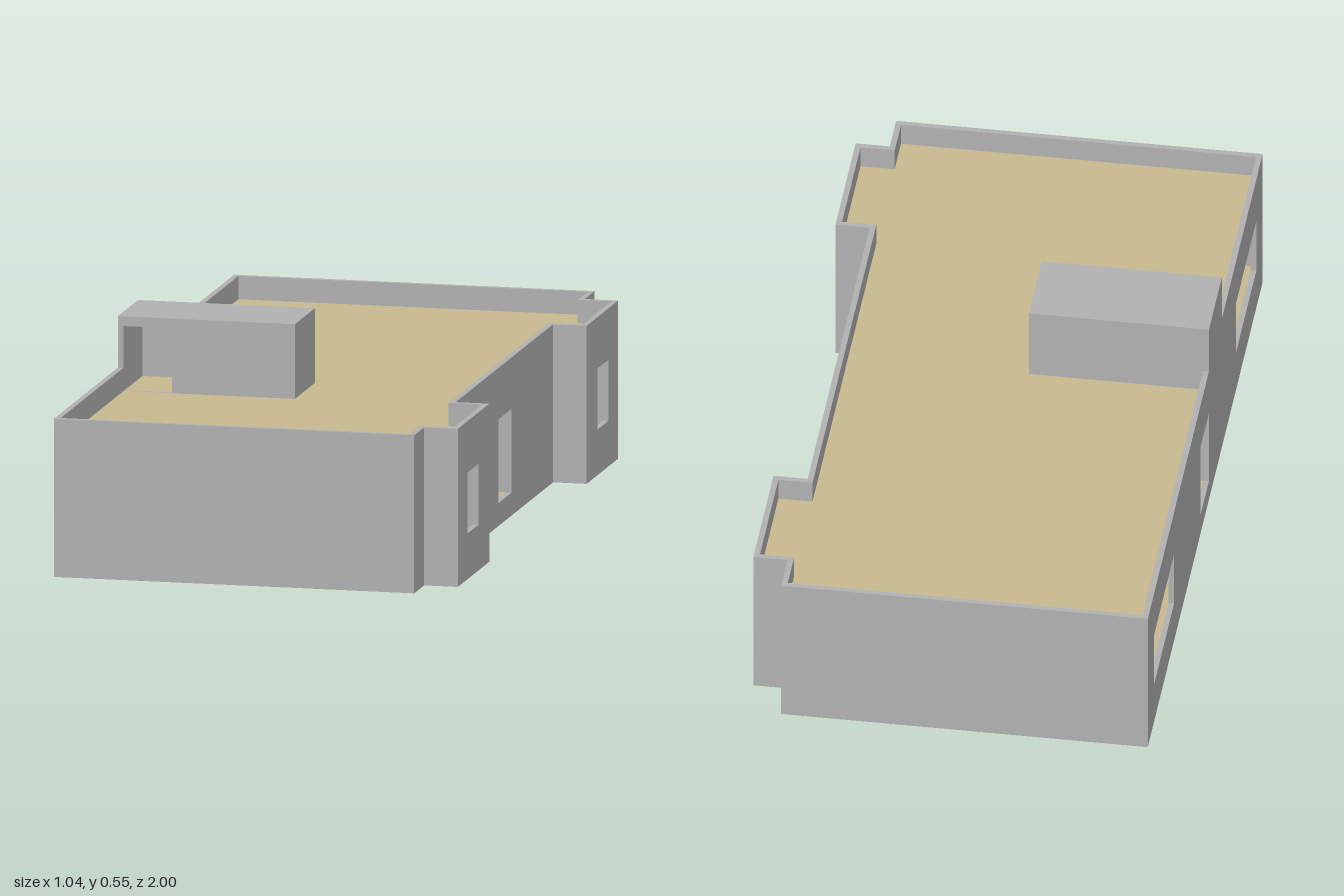
import * as THREE from 'three';

const T = 0.015;                         // wall thickness
const WALL_H = 0.415, FLOOR_Y = 0.06, ROOF_Y = 0.354;
const X0 = -0.522, X1 = 0.433, X2 = 0.522; // left wall, right wall, bay front

// Plan of the building as [x, z], inset by d; the order gives outward walls
function plan(d) {
  const a = X0 + d, b = X1 - d, c = X2 - d, e = 1 - d, o = 0.89 - d, i = 0.54 + d;
  return [[a, e], [b, e], [b, o], [c, o], [c, i], [b, i],
    [b, -i], [c, -i], [c, -o], [b, -o], [b, -e], [a, -e]];
}

export function createModel() {
  const grey = new THREE.MeshStandardMaterial({ color: 0xb2b2b2 });
  grey.name = 'concrete grey';
  const tan = new THREE.MeshStandardMaterial({ color: 0xc9bb90 });
  tan.name = 'floor tan';
  const model = new THREE.Group();
  model.name = 'building';

  function add(parent, name, geometry, material) {
    const mesh = new THREE.Mesh(geometry, material);
    mesh.name = name;
    parent.add(mesh);
    return mesh;
  }

  function box(parent, name, x0, x1, y0, y1, z0, z1, material) {
    const m = add(parent, name, new THREE.BoxGeometry(x1 - x0, y1 - y0, z1 - z0), material);
    m.position.set((x0 + x1) / 2, (y0 + y1) / 2, (z0 + z1) / 2);
  }

  // Upright wall from p to q, with openings [s0, s1, y0, y1] along its length
  function wall(parent, name, p, q, y0, y1, holes = [], extStart = 0, extEnd = 0) {
    const dx = q[0] - p[0], dz = q[1] - p[1], len = Math.hypot(dx, dz);
    const rect = (path, a, b, c, d) => {
      path.moveTo(a, c); path.lineTo(b, c); path.lineTo(b, d); path.lineTo(a, d); path.closePath();
      return path;
    };
    const shape = rect(new THREE.Shape(), -extStart, len + extEnd, y0, y1);
    for (const h of holes) shape.holes.push(rect(new THREE.Path(), ...h));
    const geo = new THREE.ExtrudeGeometry(shape, { depth: T, bevelEnabled: false });
    const m = add(parent, name, geo, grey);
    m.rotation.y = Math.atan2(-dz, dx);
    m.position.set(p[0] + (dz / len) * T, 0, p[1] - (dx / len) * T);
  }

  // Flat slab filling the plan inside the walls
  function slab(name, y0, y1, material) {
    const shape = new THREE.Shape(plan(T).map(([x, z]) => new THREE.Vector2(x, -z)));
    const geo = new THREE.ExtrudeGeometry(shape, { depth: y1 - y0, bevelEnabled: false });
    geo.rotateX(-Math.PI / 2);
    add(model, name, geo, material).position.y = y0;
  }

  // Outer walls with windows and the two corridor doors
  const openings = {
    3: [[0.11, 0.23, 0.12, 0.28]],
    5: [[0.475, 0.62, FLOOR_Y, 0.28]],
    7: [[0.12, 0.24, 0.12, 0.28]],
    11: [[0.11, 0.46, 0.12, 0.28], [0.92, 1.065, FLOOR_Y, 0.28], [1.54, 1.89, 0.12, 0.28]],
  };
  const concave = [2, 5, 6, 9];            // inner corners, where walls run on
  const walls = new THREE.Group();
  walls.name = 'outerWalls';
  model.add(walls);
  const pts = plan(0);
  pts.forEach((p, i) => {
    const j = (i + 1) % pts.length;
    wall(walls, 'wall' + (i + 1), p, pts[j], 0, WALL_H, openings[i],
      concave.includes(i) ? T : 0, concave.includes(j) ? T : 0);
  });

  // Floor and roof, each with a thin tan covering
  slab('floorSlab', 0, FLOOR_Y - 0.004, grey);
  slab('floorCovering', FLOOR_Y - 0.004, FLOOR_Y, tan);
  slab('roofSlab', ROOF_Y - 0.019, ROOF_Y - 0.004, grey);
  slab('roofCovering', ROOF_Y - 0.004, ROOF_Y, tan);

  // Walls of the corridor that crosses the building
  for (const z of [-0.08 - T, 0.065]) {
    box(model, 'corridorWall', X0 + T, X1 - T, FLOOR_Y, ROOF_Y - 0.019, z, z + T, grey);
  }

  // Rooftop stair house with a doorway facing the front
  const house = new THREE.Group();
  house.name = 'stairHouse';
  model.add(house);
  const hx = -0.053, z0 = 0.065, z1 = 0.29, top = 0.55;
  const corners = [[X0, z1], [hx, z1], [hx, z0], [X0, z0]];
  corners.forEach((p, i) => {
    const holes = i === 0 ? [[T, 0.143, ROOF_Y, 0.525]] : [];
    wall(house, 'stairHouseWall', p, corners[(i + 1) % 4], ROOF_Y - 0.004, top, holes);
  });
  box(house, 'stairHouseRoof', X0, hx, top - T, top, z0, z1, grey);

  return model;
}
